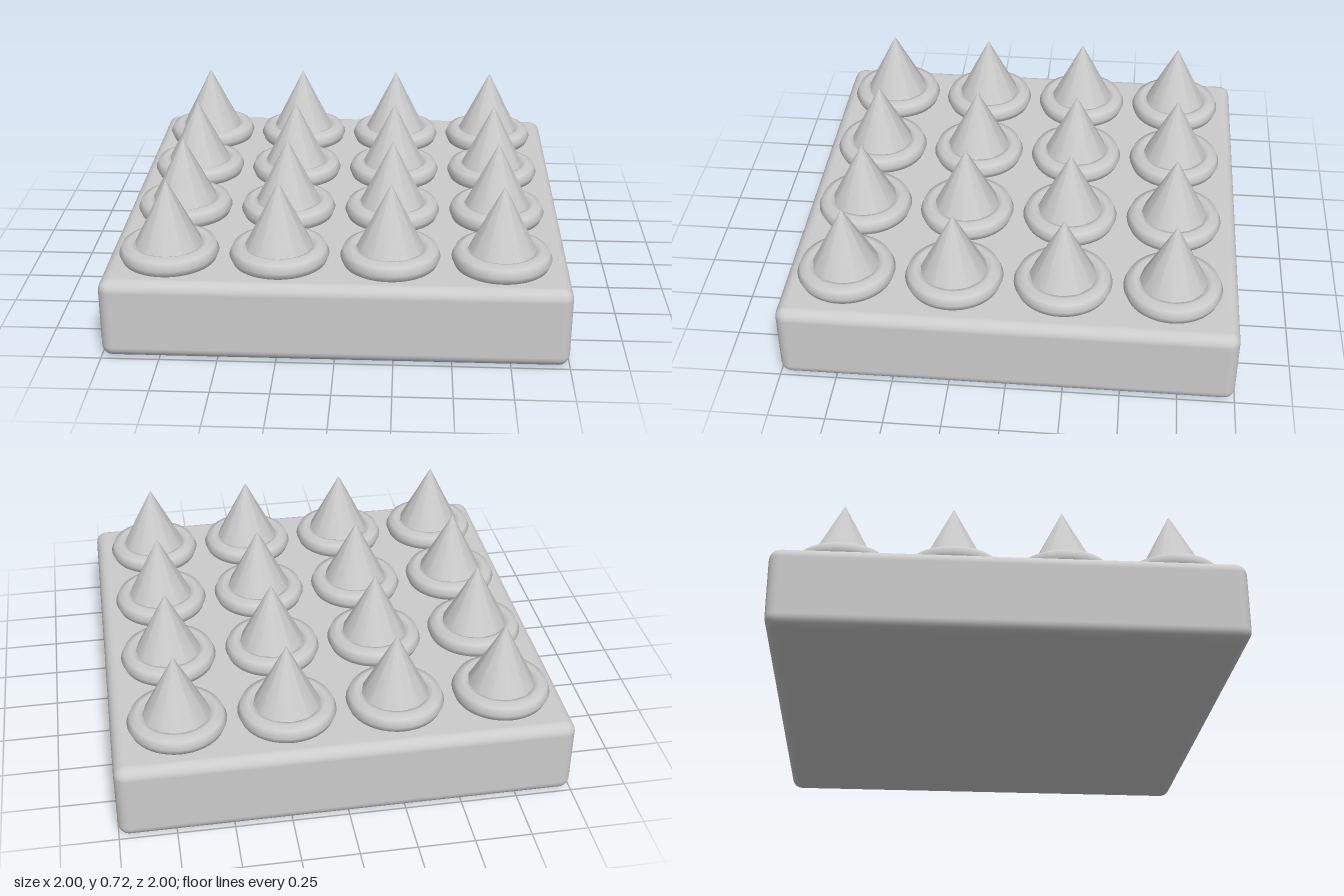
import * as THREE from 'three';
import { RoundedBoxGeometry } from 'three/addons/geometries/RoundedBoxGeometry.js';

export function createModel() {
  const model = new THREE.Group();
  model.name = 'spikePlate';
  const material = new THREE.MeshStandardMaterial({ color: 0xcccccc });

  const add = (parent, geometry, name, x, y, z) => {
    const mesh = new THREE.Mesh(geometry, material);
    mesh.name = name;
    mesh.position.set(x, y, z);
    parent.add(mesh);
  };

  // Thick slab with softly rounded edges
  const baseHeight = 0.36;
  add(model, new RoundedBoxGeometry(2, baseHeight, 2, 3, 0.05), 'baseSlab', 0, baseHeight / 2, 0);

  // Shared spike and collar shapes
  const coneHeight = 0.36;
  const coneGeometry = new THREE.ConeGeometry(0.182, coneHeight, 12);
  const ringGeometry = new THREE.TorusGeometry(0.169, 0.047, 8, 48).rotateX(Math.PI / 2);

  // 4 x 4 grid, set slightly off centre on the slab
  const spacing = 0.479;
  for (let row = 0; row < 4; row++) {
    for (let col = 0; col < 4; col++) {
      const spike = new THREE.Group();
      spike.name = `spike_${row + 1}_${col + 1}`;
      spike.position.set(-0.728 + col * spacing, baseHeight, 0.728 - row * spacing);
      add(spike, ringGeometry, 'collarRing', 0, 0.03, 0);
      add(spike, coneGeometry, 'spikeCone', 0, coneHeight / 2, 0);
      model.add(spike);
    }
  }
  return model;
}
